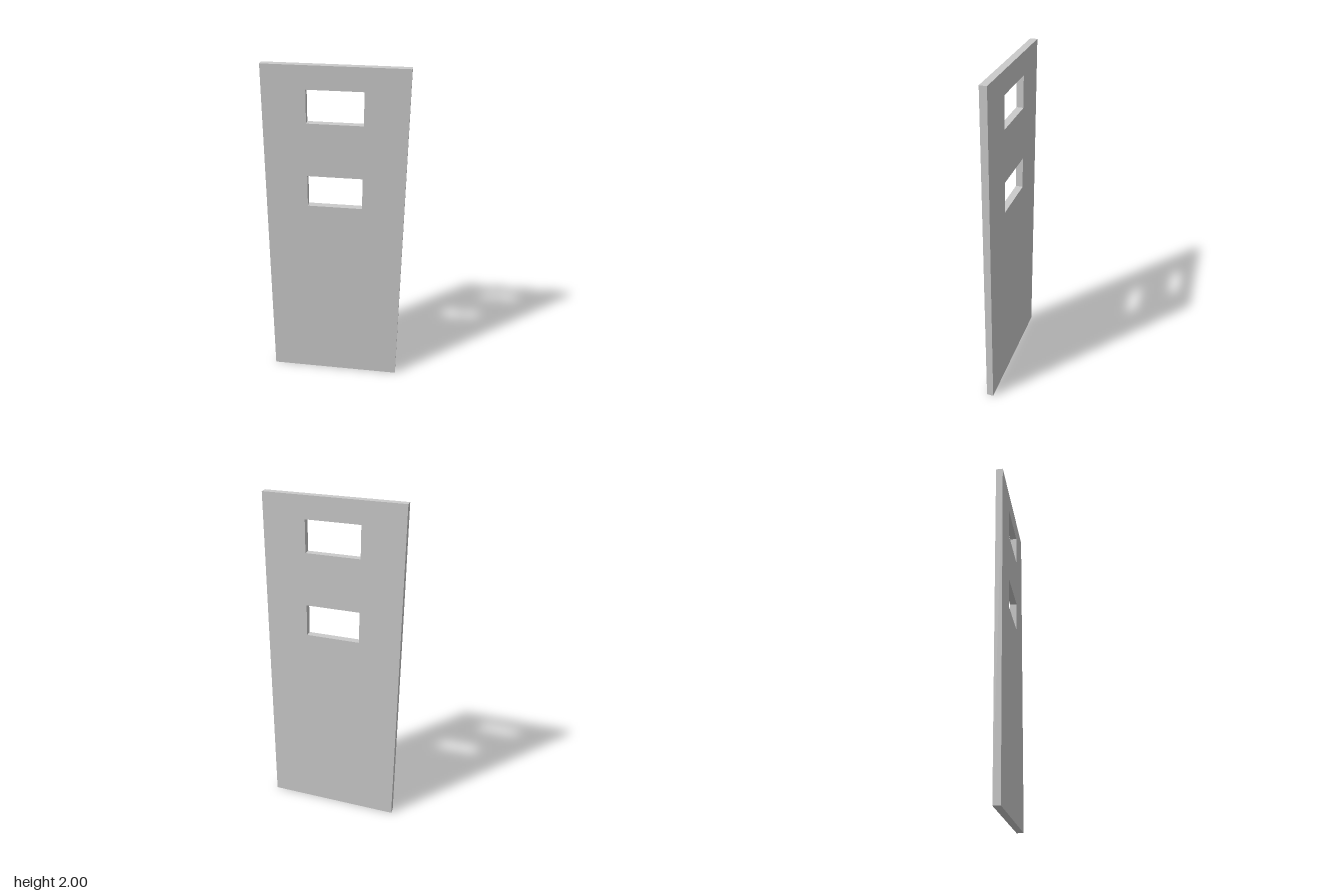
import * as THREE from 'three';

const HALF_WIDTH = 0.396, HEIGHT = 2, THICKNESS = 0.041;
const WINDOW_HALF_WIDTH = 0.156;
const WINDOWS = [[1.19, 1.376], [1.685, 1.871]]; // bottom and top of each opening

// Rectangle centred on x = 0
function rectangle(path, halfWidth, bottom, top) {
  path.moveTo(-halfWidth, bottom);
  path.lineTo(halfWidth, bottom);
  path.lineTo(halfWidth, top);
  path.lineTo(-halfWidth, top);
  path.closePath();
  return path;
}

export function createModel() {
  const model = new THREE.Group();
  model.name = 'door';

  // Door slab with two window openings cut through it
  const outline = rectangle(new THREE.Shape(), HALF_WIDTH, 0, HEIGHT);
  for (const [bottom, top] of WINDOWS) {
    outline.holes.push(rectangle(new THREE.Path(), WINDOW_HALF_WIDTH, bottom, top));
  }
  const geometry = new THREE.ExtrudeGeometry(outline, { depth: THICKNESS, bevelEnabled: false });
  geometry.translate(0, 0, -THICKNESS / 2);

  const panel = new THREE.Mesh(geometry, new THREE.MeshStandardMaterial({ color: 0xcccccc }));
  panel.name = 'doorPanel';
  model.add(panel);
  return model;
}
